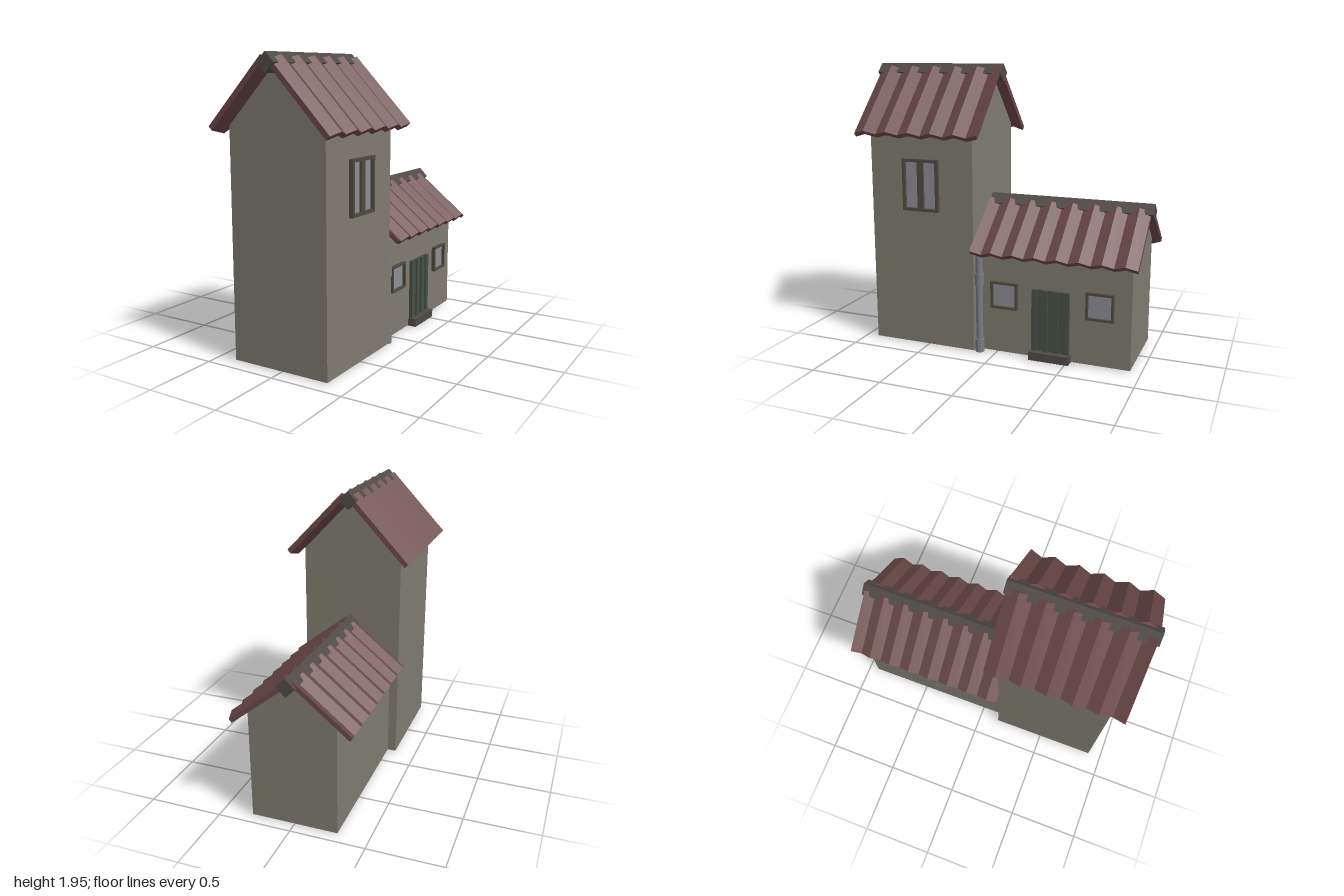
import * as THREE from 'three';

const material = (color) => new THREE.MeshStandardMaterial({ color, flatShading: true });
const wallMat = material(0x7f7b70);
const tileMat = material(0x6b4848);
const ridgeMat = material(0x504a46);
const frameMat = material(0x4e4a40);
const glassMat = material(0x8c8c94);
const doorMat = material(0x475044);
const pipeMat = material(0x7a7c80);

function add(parent, name, geometry, mat, x = 0, y = 0, z = 0) {
  const mesh = new THREE.Mesh(geometry, mat);
  mesh.name = name;
  mesh.position.set(x, y, z);
  parent.add(mesh);
  return mesh;
}

// Box given by its limits on each axis
function box(parent, name, mat, [x0, x1], [y0, y1], [z0, z1]) {
  return add(parent, name, new THREE.BoxGeometry(x1 - x0, y1 - y0, z1 - z0), mat,
    (x0 + x1) / 2, (y0 + y1) / 2, (z0 + z1) / 2);
}

// Solid block with a gable at both ends
function gabledWalls(parent, name, x0, x1, eave, apex, z0, z1) {
  const mid = (x0 + x1) / 2;
  const shape = new THREE.Shape([[x0, 0.01], [x1, 0.01], [x1, eave], [mid, apex], [x0, eave]]
    .map(([x, y]) => new THREE.Vector2(x, y)));
  const geometry = new THREE.ExtrudeGeometry(shape, { depth: z1 - z0, bevelEnabled: false });
  add(parent, name, geometry, wallMat, 0, 0, z0);
}

// Pleated slab running down the slope from top to eave, for the +x side
function pleatedSlope({ top, eave, z0, z1, folds, firstHigh, pleat, thick }) {
  const down = new THREE.Vector3(eave[0] - top[0], eave[1] - top[1], 0);
  const length = down.length();
  down.normalize();
  const normal = new THREE.Vector3(-down.y, down.x, 0);
  const upper = [];
  for (let i = 0; i <= folds; i++) {
    const high = (i % 2 === 0) === firstHigh;
    upper.push(new THREE.Vector2((i / folds) * (z1 - z0), high ? 0 : -pleat));
  }
  const lower = upper.map((p) => new THREE.Vector2(p.x, p.y - thick)).reverse();
  const geometry = new THREE.ExtrudeGeometry(new THREE.Shape([...upper, ...lower]),
    { depth: length, bevelEnabled: false });
  geometry.applyMatrix4(new THREE.Matrix4()
    .makeBasis(new THREE.Vector3(0, 0, -1), normal, down)
    .setPosition(top[0], top[1], (z1 - z0) / 2));
  return geometry;
}

// Two pleated slopes, one turned half round, and a square ridge beam set on edge
function roof(parent, name, spec) {
  const group = new THREE.Group();
  group.name = name;
  const slope = pleatedSlope(spec);
  const zMid = (spec.z0 + spec.z1) / 2;
  add(group, 'rightRoofSlope', slope, tileMat, 0, 0, zMid);
  add(group, 'leftRoofSlope', slope, tileMat, 0, 0, zMid).rotation.y = Math.PI;
  const [r0, r1] = spec.ridge;
  const beam = new THREE.BoxGeometry(0.088, 0.088, r1 - r0).rotateZ(Math.PI / 4);
  add(group, 'ridge', beam, ridgeMat, 0, spec.ridgeY, (r0 + r1) / 2);
  parent.add(group);
}

// Window on a +x wall: hollow frame, glass and an optional middle post
function window_(parent, name, wallX, [y0, y1], [z0, z1], border, depth, post = 0) {
  const group = new THREE.Group();
  group.name = name;
  const w = z1 - z0, h = y1 - y0;
  const rect = (Type, a, b) => new Type([[-a, -b], [a, -b], [a, b], [-a, b]]
    .map(([x, y]) => new THREE.Vector2(x, y)));
  const shape = rect(THREE.Shape, w / 2, h / 2);
  shape.holes.push(rect(THREE.Path, w / 2 - border, h / 2 - border));
  const frame = new THREE.ExtrudeGeometry(shape, { depth: depth + 0.01, bevelEnabled: false });
  frame.rotateY(Math.PI / 2);
  add(group, 'windowFrame', frame, frameMat, wallX - 0.01, (y0 + y1) / 2, (z0 + z1) / 2);
  box(group, 'glass', glassMat, [wallX - 0.01, wallX + 0.006],
    [y0 + border / 2, y1 - border / 2], [z0 + border / 2, z1 - border / 2]);
  if (post) {
    const mid = (z0 + z1) / 2;
    box(group, 'windowPost', frameMat, [wallX - 0.01, wallX + depth * 0.8],
      [y0 + border / 2, y1 - border / 2], [mid - post / 2, mid + post / 2]);
  }
  parent.add(group);
}

export function createModel() {
  const model = new THREE.Group();
  model.name = 'house';

  // Walls
  gabledWalls(model, 'towerWalls', -0.355, 0.345, 1.51, 1.88, 0.145, 0.905);
  gabledWalls(model, 'lowHouseWalls', -0.295, 0.29, 0.76, 0.995, -0.93, 0.15);

  // Roofs
  roof(model, 'towerRoof', {
    top: [0.045, 1.93], eave: [0.45, 1.505], z0: 0.07, z1: 0.985, folds: 11,
    firstHigh: false, pleat: 0.032, thick: 0.035, ridge: [0.06, 1], ridgeY: 1.885,
  });
  roof(model, 'lowRoof', {
    top: [0.04, 1.035], eave: [0.413, 0.735], z0: -0.98, z1: 0.145, folds: 15,
    firstHigh: true, pleat: 0.028, thick: 0.03, ridge: [-1, 0.145], ridgeY: 0.998,
  });

  // Windows
  window_(model, 'towerWindow', 0.345, [0.965, 1.32], [0.39, 0.655], 0.02, 0.027, 0.045);
  window_(model, 'nearWindow', 0.29, [0.325, 0.51], [-0.155, 0.035], 0.015, 0.025);
  window_(model, 'farWindow', 0.29, [0.325, 0.51], [-0.815, -0.63], 0.015, 0.025);

  // Door of narrow planks, alternately proud and set back
  const door = new THREE.Group();
  door.name = 'door';
  const planks = 7, plank = 0.26 / planks;
  for (let i = 0; i < planks; i++) {
    const z = -0.52 + i * plank;
    box(door, 'plank', doorMat, [0.28, i % 2 ? 0.302 : 0.315], [0.05, 0.487], [z, z + plank]);
  }
  model.add(door);
  box(model, 'doorStep', ridgeMat, [0.26, 0.35], [0.005, 0.062], [-0.53, -0.25]);

  // Drainpipe with two collars
  const pipe = new THREE.Group();
  pipe.name = 'drainpipe';
  for (const [name, r, y0, y1] of [['pipe', 0.024, 0.005, 0.74],
    ['lowerCollar', 0.031, 0, 0.092], ['upperCollar', 0.031, 0.472, 0.56]]) {
    add(pipe, name, new THREE.CylinderGeometry(r, r, y1 - y0, 12), pipeMat,
      0.315, (y0 + y1) / 2, 0.115);
  }
  model.add(pipe);

  return model;
}
